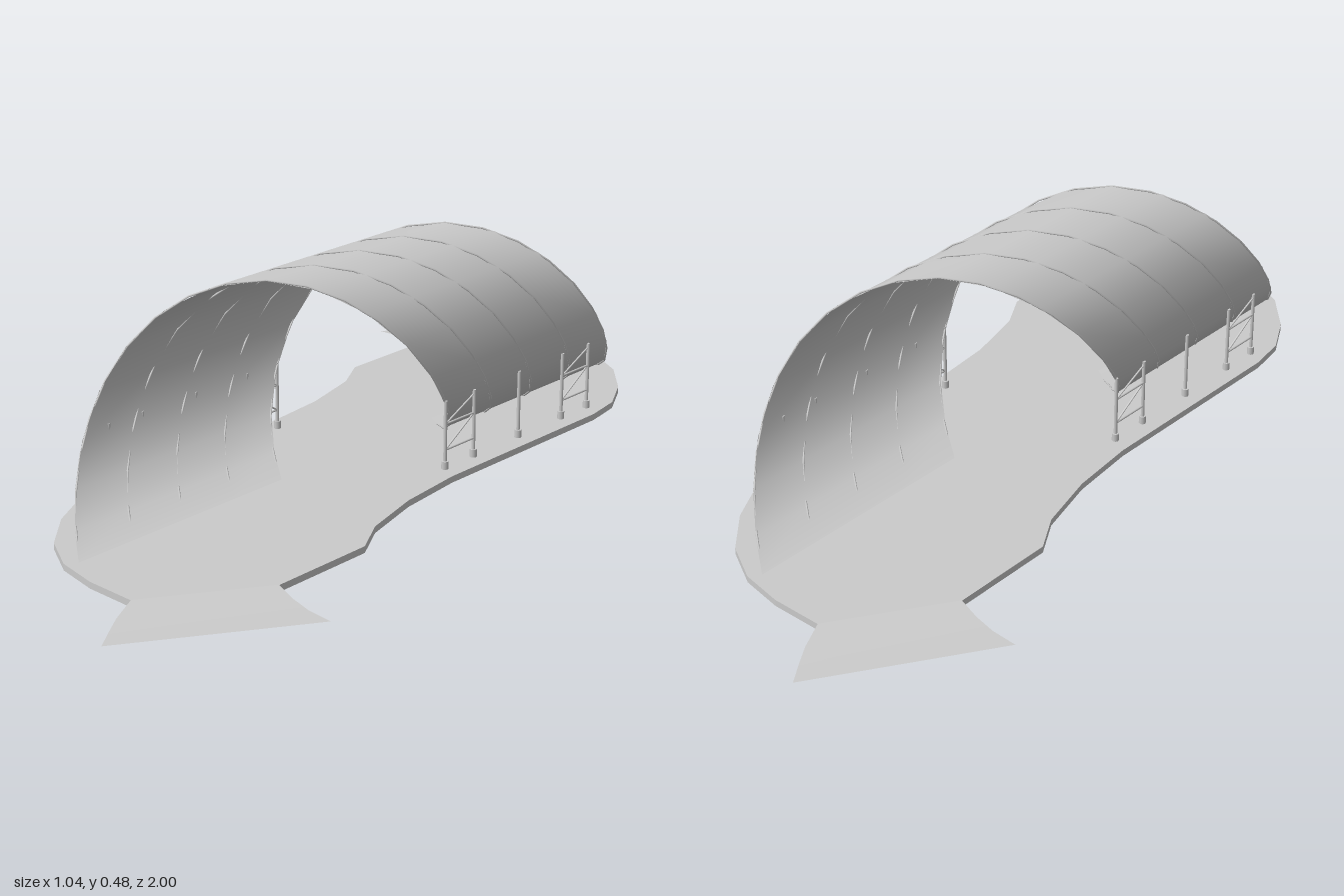
import * as THREE from 'three';

const DECK = 0.016, R = 0.23, CY = 0.246, PITCH = 0.53, HALF = 0.285;
const mat = new THREE.MeshStandardMaterial({ color: 0xcccccc });
const sheetMat = new THREE.MeshStandardMaterial({ color: 0xcccccc, side: THREE.DoubleSide });
const flatMat = new THREE.MeshStandardMaterial({ color: 0xcccccc, side: THREE.DoubleSide, flatShading: true });

// Point on the corkscrew: a is the angle from the bottom, dz the offset across the track
const helix = (a, dz, r = R) =>
  new THREE.Vector3(-r * Math.sin(a), CY - r * Math.cos(a), PITCH * (1 - a / Math.PI) + dz);

class HelixLine extends THREE.Curve {
  constructor(dz) { super(); this.dz = dz; }
  getPoint(t, target = new THREE.Vector3()) {
    return target.copy(helix(0.16 + t * (2 * Math.PI - 0.32), this.dz));
  }
}

// Sheet through rows of points
function sheet(rows) {
  const pos = [], idx = [], n = rows[0].length;
  rows.forEach(row => row.forEach(p => pos.push(p.x, p.y, p.z)));
  for (let i = 0; i < rows.length - 1; i++)
    for (let j = 0; j < n - 1; j++) {
      const a = i * n + j, b = a + n;
      idx.push(a, a + 1, b, b, a + 1, b + 1);
    }
  const g = new THREE.BufferGeometry();
  g.setAttribute('position', new THREE.Float32BufferAttribute(pos, 3));
  g.setIndex(idx);
  g.computeVertexNormals();
  return g;
}

function add(parent, name, geometry, material = mat) {
  const m = new THREE.Mesh(geometry, material);
  m.name = name;
  parent.add(m);
  return m;
}

// Thin rod between two points
function rod(parent, name, a, b, r) {
  const m = add(parent, name, new THREE.CylinderGeometry(r, r, a.distanceTo(b), 8));
  m.position.copy(a).add(b).multiplyScalar(0.5);
  m.quaternion.setFromUnitVectors(new THREE.Vector3(0, 1, 0), b.clone().sub(a).normalize());
}

// Everything that repeats at both ends: entry ramp and support frame
function createEnd(name) {
  const end = new THREE.Group();
  end.name = name;
  const V = (x, y, z) => new THREE.Vector3(x, y, z);

  // Flared ramp easing down to the ground
  add(end, 'entryRamp', sheet([
    [V(0.2, DECK, 0.855), V(0.36, DECK, 0.615)],
    [V(0.226, 0.008, 0.915), V(0.41, 0.008, 0.628)],
    [V(0.25, 0.003, 0.955), V(0.46, 0.003, 0.636)],
    [V(0.28, 0, 1), V(0.52, 0, 0.637)],
  ]), sheetMat);

  // Row of posts under the rising side of the track
  const px = 0.217, top = 0.174;
  for (const z of [-0.04, -0.135, -0.29, -0.445, -0.54]) {
    rod(end, 'supportPost', V(px, 0.002, z), V(px, top, z), 0.004);
    rod(end, 'postFoot', V(px, DECK, z), V(px, 0.034, z), 0.008);
  }
  // Bracing between the outer pairs
  for (const [z0, z1] of [[-0.04, -0.135], [-0.445, -0.54]]) {
    for (const y of [0.06, 0.12]) rod(end, 'crossBar', V(px, y, z0), V(px, y, z1), 0.0025);
    rod(end, 'diagonalBrace', V(px, 0.06, z0), V(px, 0.12, z1), 0.002);
    rod(end, 'diagonalBrace', V(px, 0.12, z0), V(px, 0.165, z1), 0.002);
  }
  return end;
}

export function createModel() {
  const model = new THREE.Group();
  model.name = 'corkscrewTrack';

  // Deck outline: one half, then the same half turned by 180 degrees
  const half = [[0.2, 0.855], [0.08, 0.855], [-0.02, 0.837], [-0.11, 0.787], [-0.19, 0.7],
    [-0.24, 0.61], [-0.255, 0.52], [-0.255, 0.02], [-0.272, -0.14], [-0.31, -0.285],
    [-0.36, -0.37], [-0.36, -0.615]];
  const outline = [...half, ...half.map(([x, z]) => [-x, -z])];
  const top = new THREE.ShapeGeometry(new THREE.Shape(outline.map(([x, z]) => new THREE.Vector2(x, -z))));
  top.rotateX(-Math.PI / 2).translate(0, DECK - 0.001, 0);
  add(model, 'deck', top, sheetMat);

  // Skirt around the deck, left out across the ramps
  [1, -1].forEach(s => add(model, 'deckSkirt', sheet([0, DECK - 0.001].map(y =>
    half.map(([x, z]) => new THREE.Vector3(s * x, y, s * z)))), flatMat));

  // Corkscrew track
  const rows = [];
  for (let i = 0; i <= 16; i++) {
    const a = (i / 16) * Math.PI * 2;
    rows.push([-1, -0.5, 0, 0.5, 1].map(k => helix(a, k * HALF)));
  }
  add(model, 'corkscrewTrack', sheet(rows), sheetMat);

  // Ribs running along the track
  for (let k = -2; k <= 2; k++)
    add(model, 'trackRib', new THREE.TubeGeometry(new HelixLine(k * HALF * 0.495), 20, 0.0022, 5));

  // Two matching ends
  const front = createEnd('frontEnd'), back = createEnd('backEnd');
  back.rotation.y = Math.PI;
  model.add(front, back);
  return model;
}
